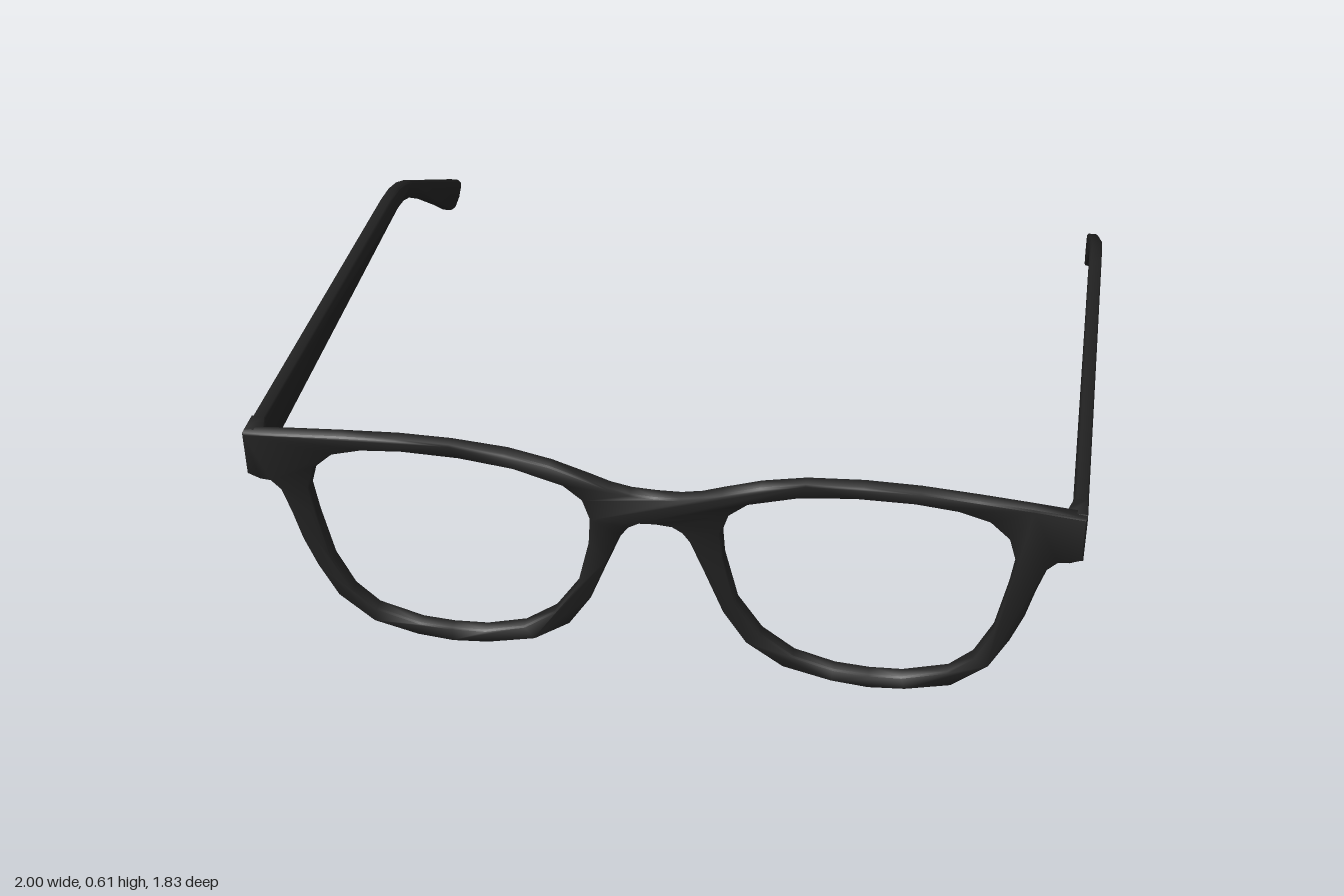
import * as THREE from 'three';
import { toCreasedNormals } from 'three/addons/utils/BufferGeometryUtils.js';

const vecs = (pts) => pts.map(([x, y]) => new THREE.Vector2(x, y));
const mirror = (pts) => pts.map(([x, y]) => [-x, y]).reverse();

// Extrude a shape to a total depth, with slightly softened edges inside the outline
function slab(shape, depth, bevel) {
  const geo = new THREE.ExtrudeGeometry(shape, {
    depth: depth - 2 * bevel, bevelEnabled: true, bevelSegments: 1,
    bevelSize: bevel, bevelThickness: bevel, bevelOffset: -bevel, curveSegments: 1,
  });
  geo.translate(0, 0, bevel);
  return toCreasedNormals(geo, 0.9);
}

// Left half of the rim outline, from the top of the bridge round to its underside
const rimHalf = [
  [0.06, 0.522], [0.11, 0.532], [0.16, 0.55], [0.25, 0.58], [0.355, 0.602], [0.49, 0.612],
  [0.62, 0.612], [0.757, 0.604], [0.88, 0.595], [1, 0.585], [1, 0.465], [0.97, 0.452],
  [0.944, 0.45], [0.92, 0.425], [0.9, 0.36], [0.88, 0.28], [0.85, 0.2], [0.805, 0.11],
  [0.72, 0.037], [0.61, 0.008], [0.52, 0], [0.43, 0.008], [0.31, 0.037], [0.22, 0.1],
  [0.163, 0.19], [0.115, 0.315], [0.083, 0.395], [0.065, 0.42], [0.04, 0.435],
];

// Lens opening on the left side
const lens = [
  [0.61, 0.577], [0.47, 0.575], [0.34, 0.56], [0.22, 0.525], [0.175, 0.487], [0.158, 0.433],
  [0.163, 0.36], [0.195, 0.225], [0.255, 0.134], [0.335, 0.075], [0.435, 0.047], [0.52, 0.042],
  [0.6, 0.047], [0.71, 0.08], [0.767, 0.134], [0.81, 0.225], [0.837, 0.36], [0.848, 0.44],
  [0.83, 0.503], [0.783, 0.547], [0.71, 0.568],
];

// Side profile of a temple arm as [z, y]
const arm = [
  [0.87, 0.582], [-0.24, 0.561], [-0.315, 0.554], [-0.375, 0.537], [-0.44, 0.507],
  [-0.9, 0.248], [-0.917, 0.232], [-0.912, 0.212], [-0.887, 0.192], [-0.837, 0.183],
  [-0.8, 0.197], [-0.71, 0.266], [-0.56, 0.375], [-0.414, 0.468], [-0.35, 0.493],
  [-0.29, 0.502], [-0.217, 0.501], [0.87, 0.472],
];

// Plan of a hinge block as [x, z], tapering into the arm
const hinge = [[1, 0.9], [0.953, 0.9], [0.956, 0.875], [0.967, 0.84], [1, 0.84]];

export function createModel() {
  const group = new THREE.Group();
  const black = new THREE.MeshStandardMaterial({ color: 0x222222 });
  black.name = 'black plastic';

  const add = (geo, name) => {
    const mesh = new THREE.Mesh(geo, black);
    mesh.name = name;
    group.add(mesh);
    return mesh;
  };

  // Front frame with both lens openings
  const outline = new THREE.Shape(vecs([[0, 0.52], ...rimHalf, [0, 0.438], ...mirror(rimHalf)]));
  outline.holes = [new THREE.Path(vecs(lens)), new THREE.Path(vecs(mirror(lens)))];
  add(slab(outline, 0.035, 0.004), 'frontFrame').position.z = 0.88;

  for (const side of [1, -1]) {
    const label = side > 0 ? 'left' : 'right';

    // Temple arm, profile turned to run along z
    const armGeo = slab(new THREE.Shape(vecs(arm)), 0.032, 0.004);
    armGeo.rotateY(-Math.PI / 2);
    add(armGeo, label + 'Temple').position.x = side > 0 ? 1 : -0.968;

    // Hinge block behind the frame corner
    const plan = hinge.map(([x, z]) => [side * x, -z]);
    const hingeGeo = slab(new THREE.Shape(vecs(plan)), 0.135, 0.002);
    hingeGeo.rotateX(-Math.PI / 2);
    add(hingeGeo, label + 'Hinge').position.y = 0.452;
  }
  return group;
}
